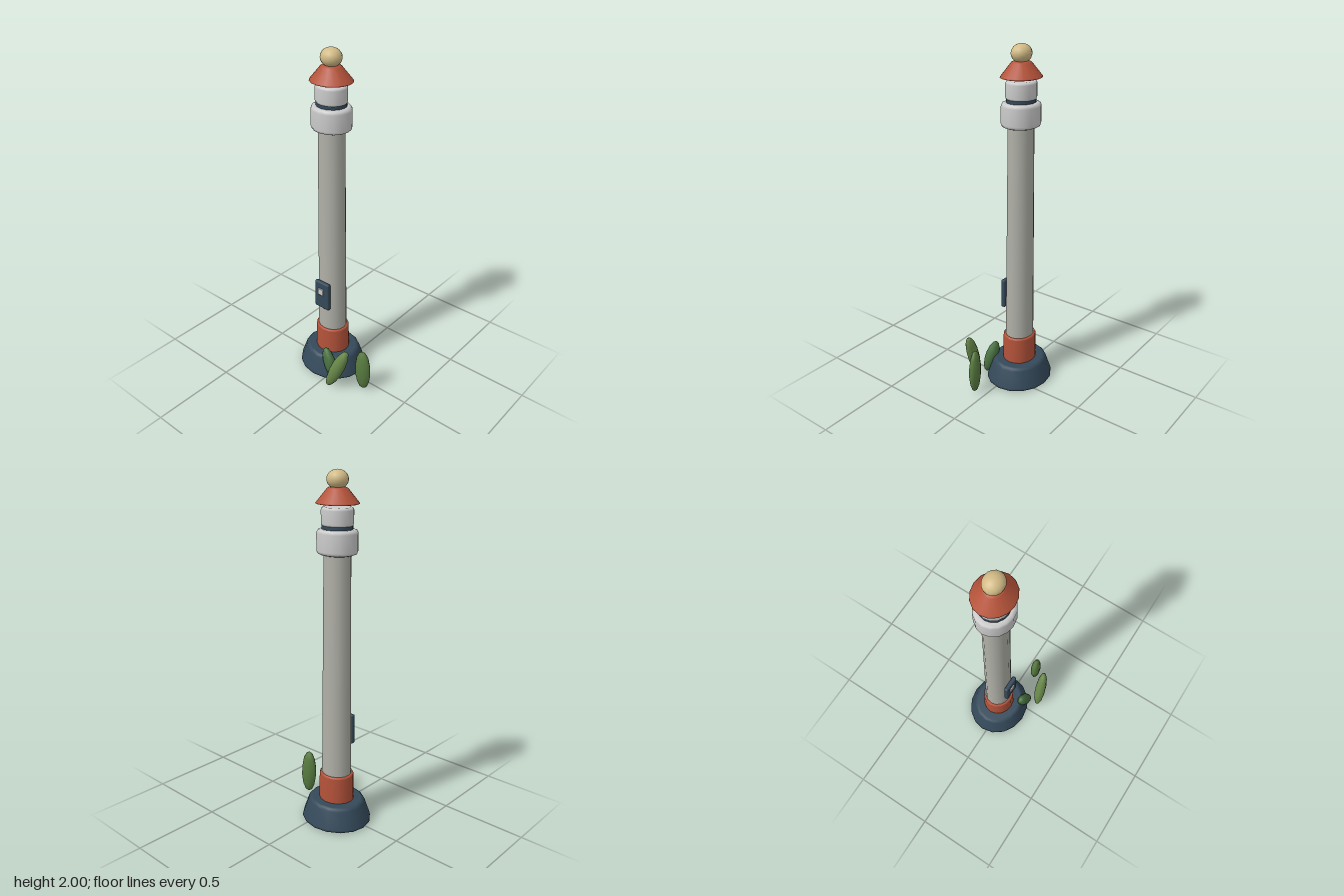
import * as THREE from 'three';
import { RoundedBoxGeometry } from 'three/addons/geometries/RoundedBoxGeometry.js';

const NAVY = 0x34495a, RED = 0xb5533a, STONE = 0xcccccc, CREAM = 0xd2bb86;

function add(parent, name, geometry, color) {
  const mesh = new THREE.Mesh(geometry, new THREE.MeshStandardMaterial({ color }));
  mesh.name = name;
  parent.add(mesh);
  return mesh;
}

// Closed 16-sided drum with bevelled rims, tapering from r0 at y0 to r1 at y1
function drum(r0, r1, y0, y1, bevel) {
  const slope = (r1 - r0) / (y1 - y0) * bevel;
  const points = [
    [0, y0], [r0 - bevel, y0], [r0 - bevel * 0.3, y0 + bevel * 0.3], [r0 + slope, y0 + bevel],
    [r1 - slope, y1 - bevel], [r1 - bevel * 0.3, y1 - bevel * 0.3], [r1 - bevel, y1], [0, y1],
  ].map(([x, y]) => new THREE.Vector2(x, y));
  return new THREE.LatheGeometry(points, 16);
}

export function createModel() {
  const model = new THREE.Group();

  // Tower, slightly flattened from front to back
  const tower = new THREE.Group();
  tower.name = 'tower';
  tower.position.set(-0.077, 0, -0.027);
  tower.scale.z = 0.905;
  model.add(tower);

  add(tower, 'base', drum(0.213, 0.165, 0.005, 0.14, 0.018), NAVY);
  add(tower, 'lowerBand', drum(0.105, 0.102, 0.13, 0.302, 0.01), RED);
  add(tower, 'shaft', drum(0.088, 0.076, 0.28, 1.58, 0.008), 0xb0b0a8);
  add(tower, 'gallery', drum(0.115, 0.115, 1.568, 1.7, 0.02), STONE);
  add(tower, 'lanternRing', drum(0.086, 0.086, 1.69, 1.725, 0.005), NAVY);
  add(tower, 'lanternRoom', drum(0.09, 0.09, 1.714, 1.812, 0.014), STONE);
  add(tower, 'roof', drum(0.123, 0.052, 1.828, 1.912, 0.008), RED);
  const finial = add(tower, 'finial', new THREE.SphereGeometry(1, 16, 12), CREAM);
  finial.scale.set(0.06, 0.05, 0.06);
  finial.position.y = 1.95;

  // Door with its small window
  const door = add(model, 'door', new RoundedBoxGeometry(0.103, 0.178, 0.026, 2, 0.008), NAVY);
  door.position.set(-0.077, 0.55, 0.061);
  const pane = add(model, 'doorWindow', new RoundedBoxGeometry(0.04, 0.042, 0.018, 1, 0.004), STONE);
  pane.position.set(-0.079, 0.576, 0.073);

  // Leaves: centre, half sizes, yaw, lean, colour
  const leaves = [
    [[0.017, 0.12, 0.115], [0.044, 0.098, 0.034], -0.2, 0.42, 0x476f3e],
    [[0.125, 0.168, 0.172], [0.041, 0.16, 0.035], 0.27, -0.4, 0x69894a],
    [[0.235, 0.149, 0.066], [0.05, 0.137, 0.031], 0.2, 0.03, 0x587b40],
  ];
  for (const [center, size, yaw, lean, color] of leaves) {
    const leaf = add(model, 'leaf', new THREE.SphereGeometry(1, 10, 7), color);
    leaf.position.set(...center);
    leaf.scale.set(...size);
    leaf.rotation.set(0, yaw, lean, 'YXZ');
  }
  return model;
}
